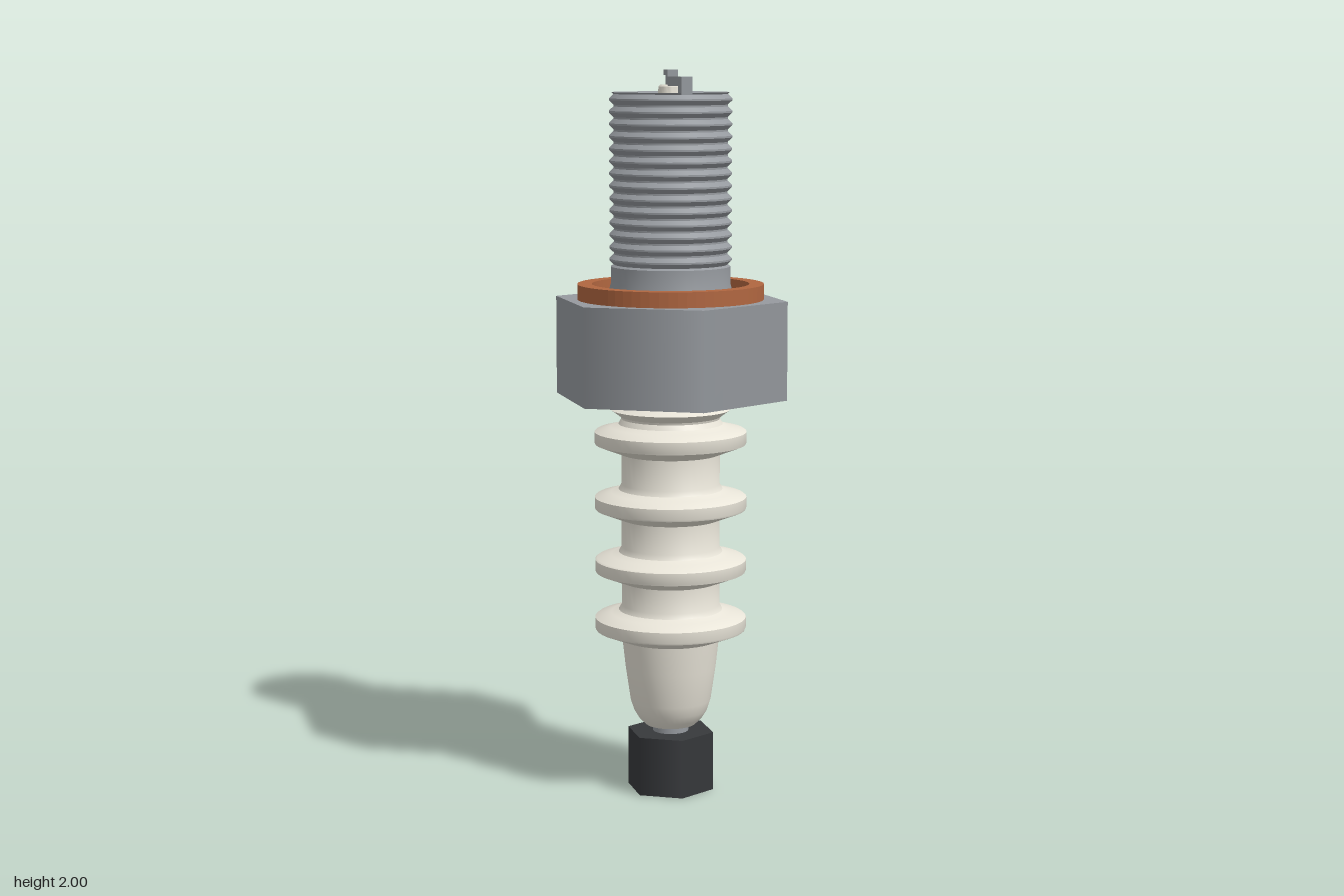
import * as THREE from 'three';
import { toCreasedNormals } from 'three/addons/utils/BufferGeometryUtils.js';

const material = (color) => new THREE.MeshStandardMaterial({ color });

export function createModel() {
  const group = new THREE.Group();
  const steel = material(0x969a9f);
  const ceramic = material(0xe8e4d8);
  const copper = material(0xb06640);
  const black = material(0x37393c);

  const add = (name, geometry, mat, x = 0, y = 0, z = 0) => {
    const mesh = new THREE.Mesh(geometry, mat);
    mesh.name = name;
    mesh.position.set(x, y, z);
    group.add(mesh);
    return mesh;
  };
  // Profiles are [radius, height] pairs running up the outside
  const lathe = (name, profile, mat, crease = 0.6) => {
    const points = profile.map(([r, y]) => new THREE.Vector2(r, y));
    return add(name, toCreasedNormals(new THREE.LatheGeometry(points, 40), crease), mat);
  };
  const hexagon = (name, radius, bottom, top, mat) =>
    add(name, new THREE.CylinderGeometry(radius, radius, top - bottom, 6), mat, 0, (bottom + top) / 2);

  // Terminal cap and its stud
  hexagon('terminalCap', 0.123, 0, 0.165, black);
  add('terminalStud', new THREE.CylinderGeometry(0.05, 0.05, 0.05, 24), steel, 0, 0.175);

  // Ribbed insulator: tapered foot, four ribs, flared collar under the nut
  const insulator = [
    [0, 0.185], [0.07, 0.185], [0.088, 0.202], [0.102, 0.225], [0.112, 0.255], [0.126, 0.35], [0.135, 0.43],
  ];
  for (const y of [0.478, 0.642, 0.818, 1.0]) {
    insulator.push(
      [0.136, y - 0.048], [0.208, y - 0.02], [0.21, y - 0.015],
      [0.21, y + 0.014], [0.205, y + 0.018], [0.165, y + 0.027], [0.144, y + 0.036], [0.136, y + 0.05],
    );
  }
  insulator.push([0.138, 1.056], [0.165, 1.076], [0.085, 1.112]);
  lathe('insulator', insulator, ceramic);

  // Hexagonal body nut
  hexagon('hexNut', 0.327, 1.11, 1.38, steel);

  // Sealing washer
  const ring = new THREE.Shape().absarc(0, 0, 0.255, 0, Math.PI * 2);
  ring.holes.push(new THREE.Path().absarc(0, 0, 0.215, 0, Math.PI * 2, true));
  const washer = new THREE.ExtrudeGeometry(ring, { depth: 0.042, bevelEnabled: false, curveSegments: 32 });
  washer.rotateX(-Math.PI / 2);
  add('sealingWasher', washer, copper, 0, 1.38);

  // Threaded shell with a hollow, funnel-shaped end
  const shell = [[0.176, 1.375], [0.163, 1.425], [0.163, 1.47]];
  const turns = 14;
  const pitch = (1.935 - 1.47) / turns;
  for (let i = 0; i < turns; i++) {
    const y = 1.47 + i * pitch;
    shell.push([0.155, y + pitch * 0.15], [0.167, y + pitch * 0.5], [0.167, y + pitch * 0.65], [0.155, y + pitch]);
  }
  shell.push(
    [0.16, 1.94], [0.13, 1.937], [0.105, 1.927], [0.088, 1.91], [0.075, 1.88], [0.06, 1.85], [0.042, 1.83], [0, 1.83],
  );
  lathe('threadedShell', shell, steel, 0.5);

  // Insulator nose and centre electrode
  lathe('insulatorNose', [[0.044, 1.82], [0.043, 1.88], [0.034, 1.935], [0.033, 1.955], [0.028, 1.96], [0, 1.96]], ceramic);
  add('centreElectrode', new THREE.CylinderGeometry(0.013, 0.013, 0.04, 16), steel, 0, 1.955);

  // Ground strap: foot on the rim, arm across, raised tip
  const strap = new THREE.Shape();
  [[0.163, 1.935], [0.163, 1.982], [0.022, 1.982], [0.022, 2], [-0.02, 2], [-0.02, 1.985], [0.004, 1.985],
    [0.004, 1.957], [0.126, 1.957], [0.126, 1.935]]
    .forEach(([z, y], i) => (i ? strap.lineTo(z, y) : strap.moveTo(z, y)));
  const strapGeometry = new THREE.ExtrudeGeometry(strap, { depth: 0.03, bevelEnabled: false });
  strapGeometry.translate(0, 0, -0.015).rotateY(-Math.PI / 2);
  add('groundStrap', strapGeometry, steel);

  return group;
}
